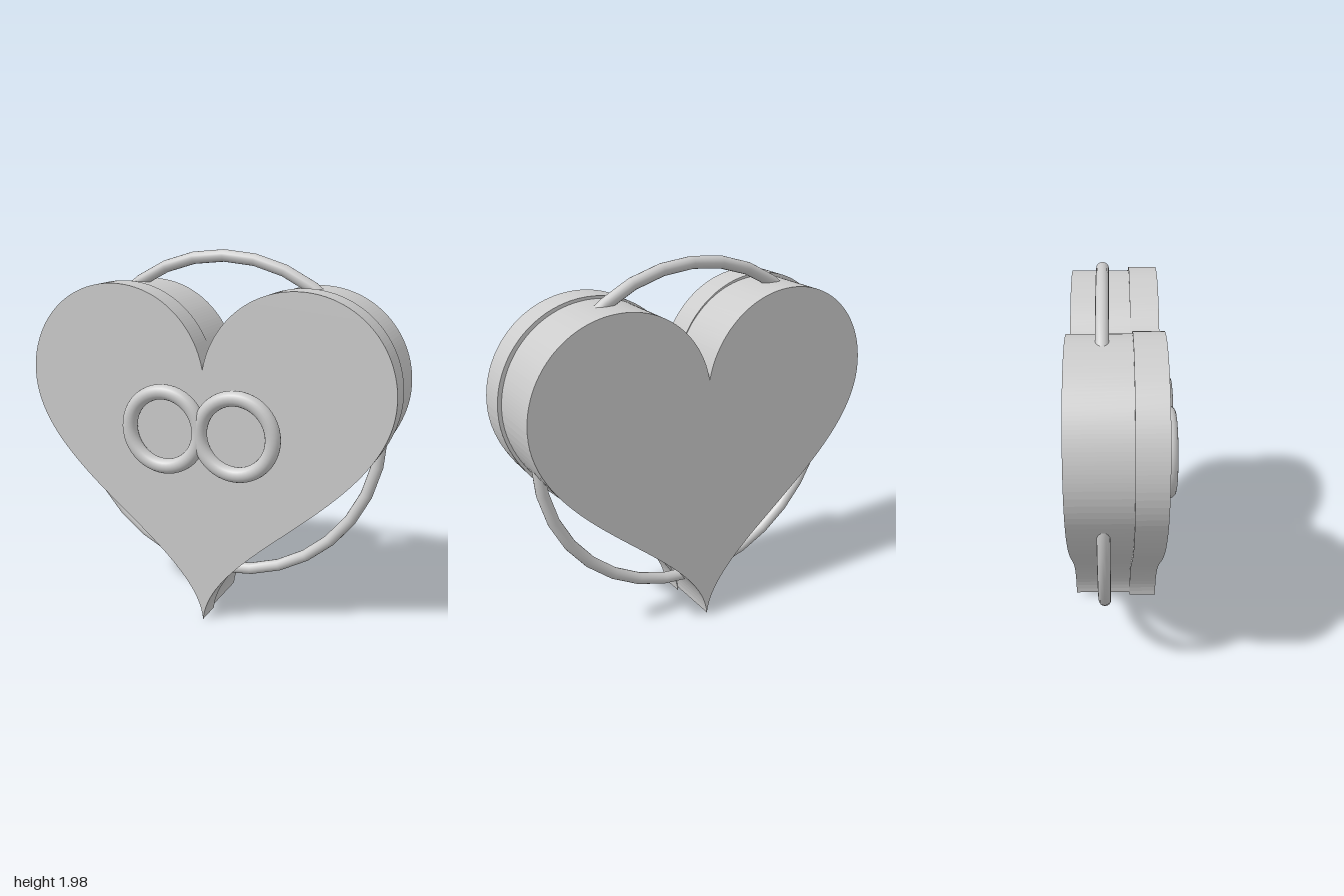
import * as THREE from 'three';

const MID_Y = 1.07; // height of the ring centres

// Heart outline, scaled about the ring centre
function heartShape(k) {
  const s = new THREE.Shape();
  const y = (v) => MID_Y + (v - MID_Y) * k;
  const curve = (a, b, c, d, e, f) => s.bezierCurveTo(a * k, y(b), c * k, y(d), e * k, y(f));
  s.moveTo(0, y(0));
  curve(0.04, 0.43, 1, 0.76, 1, 1.31);
  curve(1, 1.59, 0.78, 1.81, 0.5, 1.81);
  curve(0.24, 1.81, 0.04, 1.62, 0, 1.39);
  curve(-0.04, 1.62, -0.24, 1.81, -0.5, 1.81);
  curve(-0.78, 1.81, -1, 1.59, -1, 1.31);
  curve(-1, 0.76, -0.04, 0.43, 0, 0);
  return s;
}

export function createModel() {
  const group = new THREE.Group();
  const material = new THREE.MeshStandardMaterial({ color: 0xcccccc });
  const add = (name, geometry, x, y, z) => {
    const mesh = new THREE.Mesh(geometry, material);
    mesh.name = name;
    mesh.position.set(x, y, z);
    group.add(mesh);
  };
  const slab = (k, depth) => new THREE.ExtrudeGeometry(heartShape(k), {
    depth, bevelEnabled: false, curveSegments: 40,
  });

  // Heart box: slightly smaller body behind a wider lid
  add('body', slab(0.98, 0.31), 0, 0, -0.27);
  add('lid', slab(1, 0.15), 0, 0, 0.04);

  // Large hoop running through the body
  add('hoop', new THREE.TorusGeometry(0.875, 0.032, 16, 32), 0, MID_Y, -0.1);

  // Pair of small rings resting on the lid
  for (const side of [-1, 1]) {
    add(side > 0 ? 'leftRing' : 'rightRing',
      new THREE.TorusGeometry(0.2, 0.04, 20, 48), side * 0.2, MID_Y, 0.23);
  }
  return group;
}
